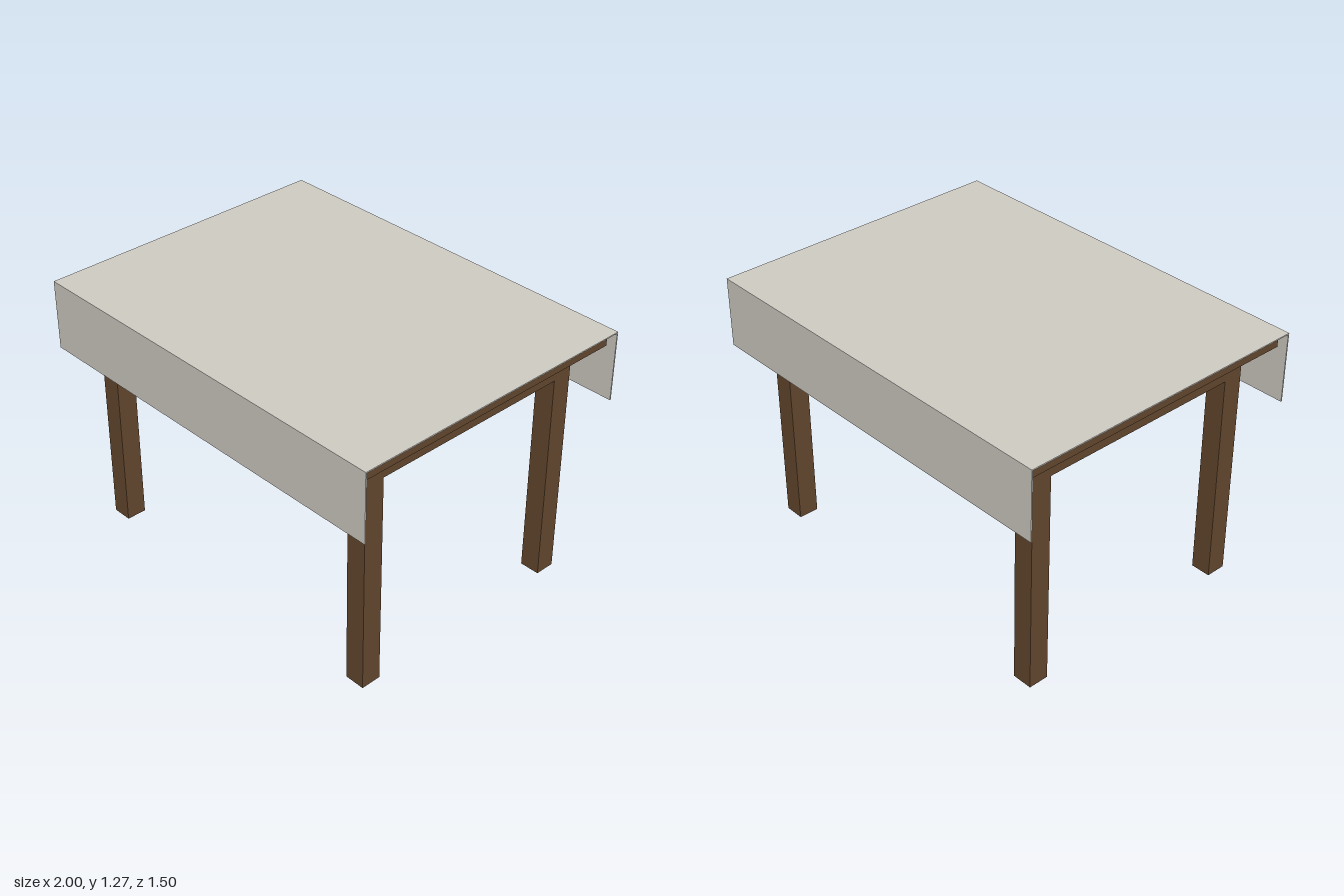
import * as THREE from 'three';

const wood = new THREE.MeshStandardMaterial({ color: 0x65482e, flatShading: true, side: THREE.DoubleSide });
const linen = new THREE.MeshStandardMaterial({ color: 0xd1cdc5, flatShading: true, side: THREE.DoubleSide });

export function createModel() {
  const table = new THREE.Group();
  table.name = 'table';

  const add = (name, geometry, material, x, y, z) => {
    const mesh = new THREE.Mesh(geometry, material);
    mesh.name = name;
    mesh.position.set(x, y, z);
    table.add(mesh);
  };

  // Tabletop and the solid apron block beneath it
  add('tabletop', new THREE.BoxGeometry(1.94, 0.06, 1.43), wood, 0, 1.232, 0);
  add('apron', new THREE.BoxGeometry(1.73, 0.142, 1.23), wood, 0, 1.131, 0);

  // Four square legs, open at the foot
  const legGeometry = new THREE.CylinderGeometry(0.05 * Math.SQRT2, 0.05 * Math.SQRT2, 1.06, 4, 1, true);
  legGeometry.rotateY(Math.PI / 4);
  for (const [xName, x] of [['Left', 0.815], ['Right', -0.815]]) {
    for (const [zName, z] of [['front', 0.565], ['back', -0.565]]) {
      add(`${zName}${xName}Leg`, legGeometry, wood, x, 0.53, z);
    }
  }

  // Thin cloth laid over the top, hanging down front and back
  const w = 0.748, top = 1.27, hem = 0.925, t = 0.006;
  const profile = new THREE.Shape([
    [-w, hem], [-w + t, hem], [-w + t, top - t], [w - t, top - t],
    [w - t, hem], [w, hem], [w, top], [-w, top],
  ].map(([z, y]) => new THREE.Vector2(z, y)));
  const cloth = new THREE.ExtrudeGeometry(profile, { depth: 2, bevelEnabled: false });
  cloth.translate(0, 0, -1);
  cloth.rotateY(Math.PI / 2);
  add('tablecloth', cloth, linen, 0, 0, 0);

  return table;
}
